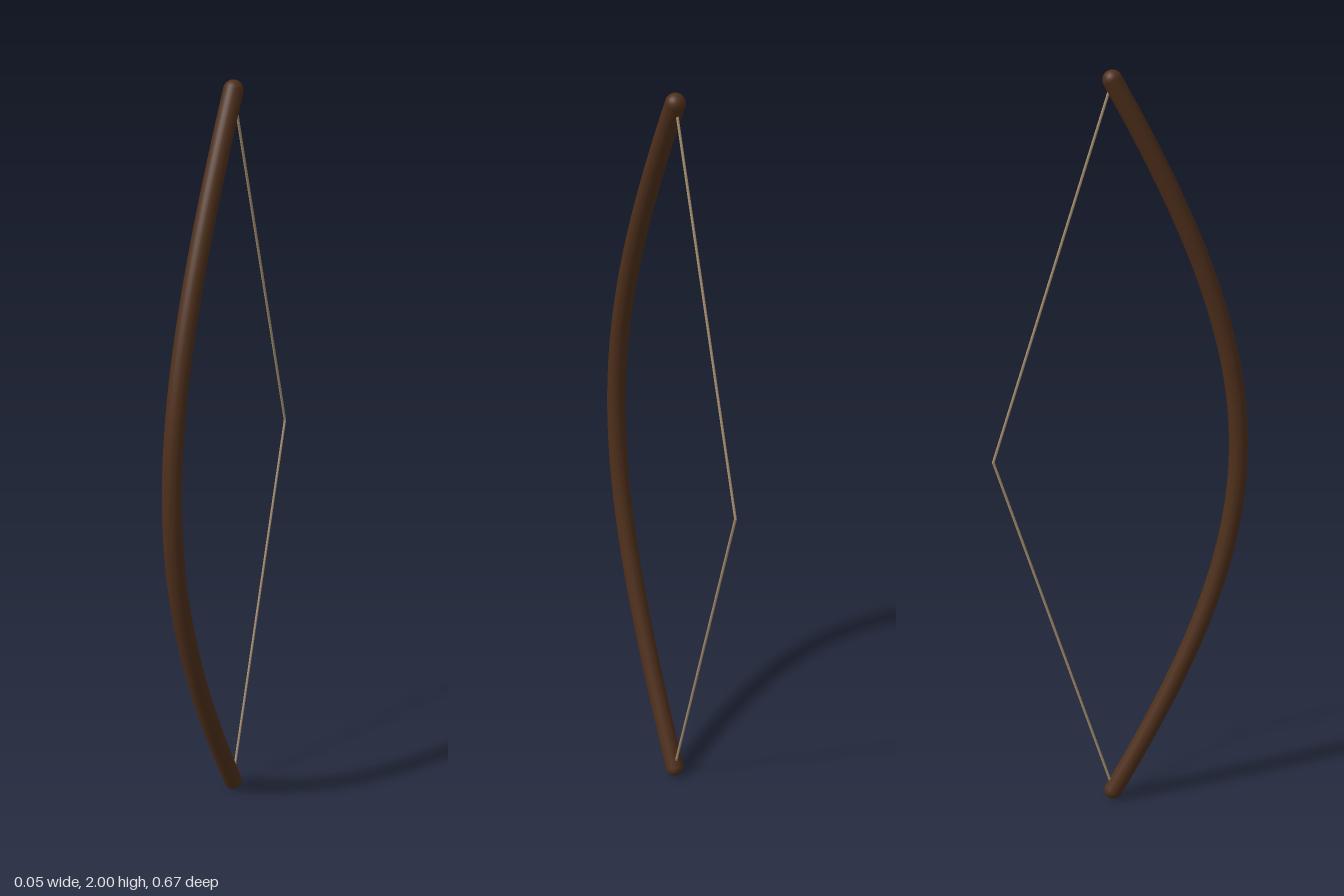
import * as THREE from 'three';

export function createModel() {
  const group = new THREE.Group();
  const wood = new THREE.MeshStandardMaterial({ color: 0x4e2f1b });
  const cord = new THREE.MeshStandardMaterial({ color: 0xa89070 });

  const add = (name, geometry, material, position) => {
    const mesh = new THREE.Mesh(geometry, material);
    mesh.name = name;
    if (position) mesh.position.copy(position);
    group.add(mesh);
  };

  const limbRadius = 0.025;
  const stringRadius = 0.0035;
  const top = new THREE.Vector3(0, 1.975, -0.021);
  const bottom = new THREE.Vector3(0, 0.025, -0.021);
  const nock = new THREE.Vector3(0, 1, -0.332);

  // Stave bulging towards the front, with nearly straight limb ends
  const bend = new THREE.CubicBezierCurve3(
    bottom,
    new THREE.Vector3(0, 0.815, 0.42),
    new THREE.Vector3(0, 1.185, 0.42),
    top
  );
  add('stave', new THREE.TubeGeometry(bend, 64, limbRadius, 24, false), wood);

  // Rounded tips and the two halves of the drawn string
  for (const [side, tip] of [['upper', top], ['lower', bottom]]) {
    add(side + 'Tip', new THREE.SphereGeometry(limbRadius, 24, 16), wood, tip);
    const half = new THREE.LineCurve3(tip, nock);
    add(side + 'String', new THREE.TubeGeometry(half, 1, stringRadius, 8, false), cord);
  }

  // Joint where the string is pulled back
  add('stringNock', new THREE.SphereGeometry(stringRadius, 8, 6), cord, nock);

  return group;
}
